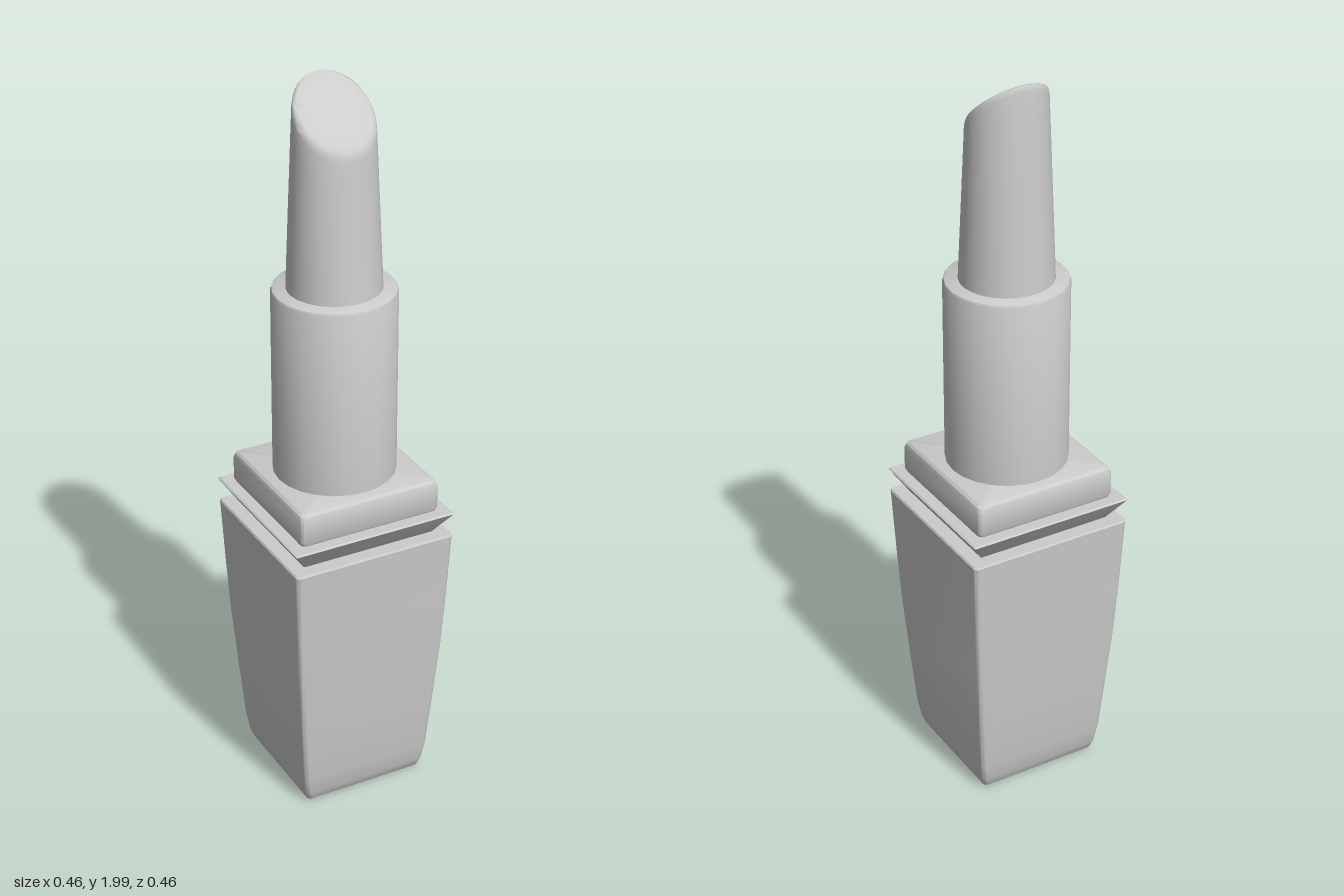
import * as THREE from 'three';
import { toCreasedNormals } from 'three/addons/utils/BufferGeometryUtils.js';

const material = new THREE.MeshStandardMaterial({ color: 0xcccccc });

// Skins a stack of closed rings (listed bottom to top, outside to centre).
function loft(rings, crease) {
  const n = rings[0].length;
  const index = [];
  for (let i = 0; i < rings.length - 1; i++) {
    for (let j = 0; j < n; j++) {
      const a = i * n + j, b = i * n + (j + 1) % n;
      index.push(a, a + n, b, b, a + n, b + n);
    }
  }
  const geometry = new THREE.BufferGeometry();
  geometry.setAttribute('position', new THREE.Float32BufferAttribute(rings.flat(2), 3));
  geometry.setIndex(index);
  return toCreasedNormals(geometry, crease);
}

// Square ring with rounded corners.
function squareRing(half, y, radius) {
  const r = Math.min(radius, half), ring = [];
  for (let corner = 0; corner < 4; corner++) {
    const mid = (corner + 0.5) * Math.PI / 2;
    const cx = Math.sign(Math.cos(mid)) * (half - r);
    const cz = Math.sign(Math.sin(mid)) * (half - r);
    for (let k = 0; k <= 3; k++) {
      const a = (corner + k / 3) * Math.PI / 2;
      ring.push([cx + r * Math.cos(a), y, cz + r * Math.sin(a)]);
    }
  }
  return ring;
}

// Closed square solid from [halfWidth, y] pairs.
function squareSolid(profile, radius) {
  const closed = [[0, profile[0][1]], ...profile, [0, profile.at(-1)[1]]];
  return loft(closed.map(([h, y]) => squareRing(h, y, radius)), 0.6);
}

// Tapered stick, cut at a slant with a softened rim.
function stickGeometry() {
  const sides = 40, rings = [];
  const slant = z => 1.912 - 0.9 * z;
  const section = (t, s, y) => {
    const ring = [];
    for (let j = 0; j < sides; j++) {
      const a = j / sides * Math.PI * 2;
      const x = s * (0.125 - 0.017 * t) * Math.cos(a);
      const z = s * (0.125 - 0.033 * t) * Math.sin(a);
      ring.push([x, y(z), z]);
    }
    return ring;
  };
  const bottom = 1.42;
  for (let i = 0; i <= 10; i++) {
    const t = i / 10;
    rings.push(section(t, 1, z => bottom + (slant(z) - 0.02 - bottom) * t));
  }
  for (const [s, drop] of [[0.985, 0.009], [0.95, 0.001], [0.88, -0.003], [0.7, -0.005], [0.4, -0.006], [0, -0.006]]) {
    rings.push(section(1, s, z => slant(z) - drop));
  }
  return loft(rings, 1.2);
}

export function createModel() {
  const group = new THREE.Group();
  const add = (name, geometry) => {
    const mesh = new THREE.Mesh(geometry, material);
    mesh.name = name;
    group.add(mesh);
  };

  // Square tapered handle
  add('base', squareSolid([
    [0.165, 0], [0.172, 0.006], [0.18, 0.03], [0.188, 0.08], [0.199, 0.22],
    [0.214, 0.42], [0.222, 0.57], [0.23, 0.75], [0.231, 0.765], [0.228, 0.77],
  ], 0.012));

  // Flared collar and the rounded block on it
  add('collar', squareSolid([[0.187, 0.765], [0.232, 0.832], [0.228, 0.836]], 0.004));
  add('collarBlock', squareSolid([
    [0.195, 0.83], [0.202, 0.845], [0.202, 0.908], [0.198, 0.92], [0.19, 0.926],
  ], 0.014));

  // Round sleeve holding the stick
  const sleeve = [[0, 0.92], [0.163, 0.92], [0.163, 1.436], [0.16, 1.443], [0.154, 1.446], [0, 1.446]]
    .map(([r, y]) => new THREE.Vector2(r, y));
  add('sleeve', toCreasedNormals(new THREE.LatheGeometry(sleeve, 24), 0.7));

  add('stick', stickGeometry());
  return group;
}
